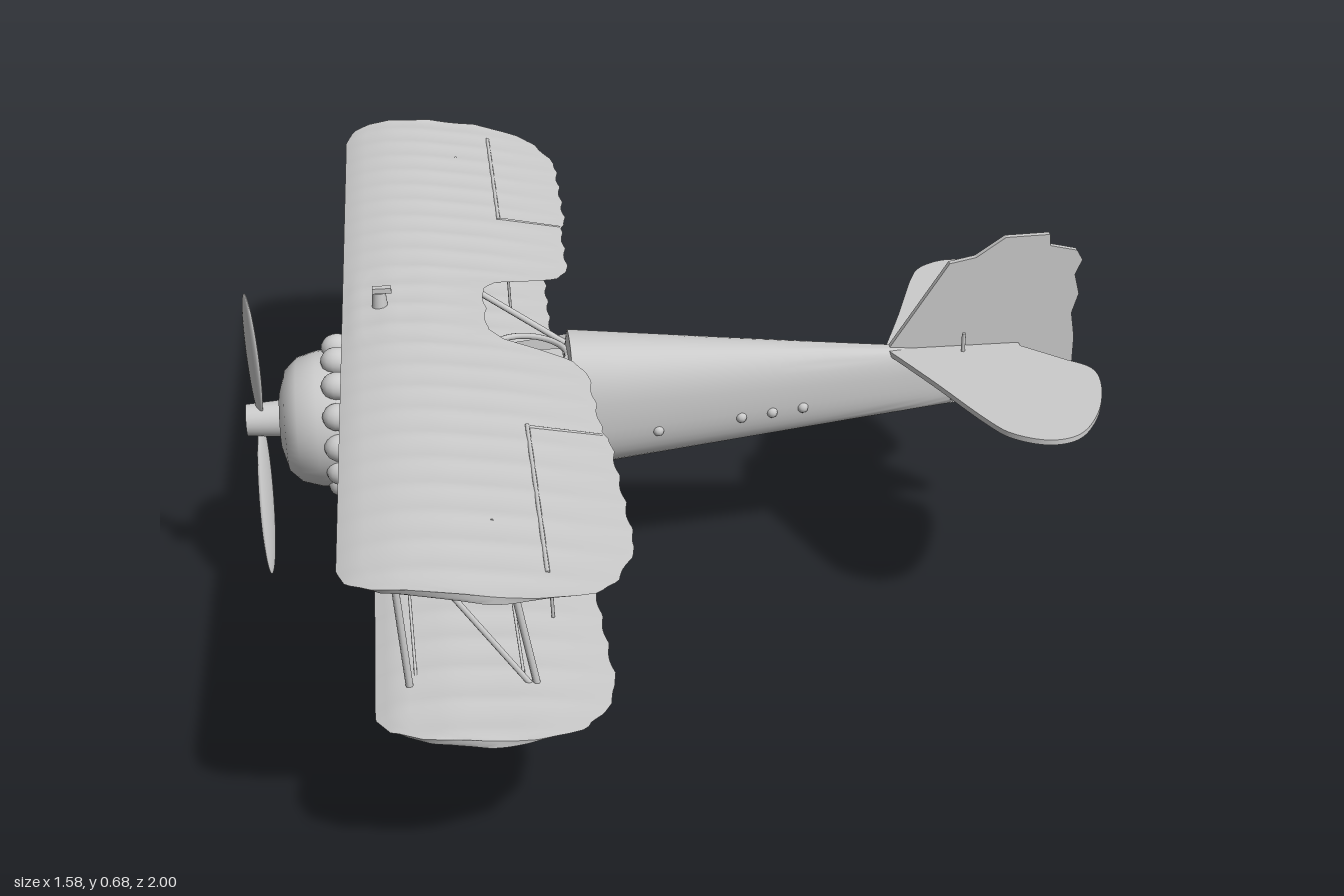
import * as THREE from 'three';
import { toCreasedNormals } from 'three/addons/utils/BufferGeometryUtils.js';

const material = new THREE.MeshStandardMaterial({ color: 0xcccccc, side: THREE.DoubleSide });
const V = (x, y, z) => new THREE.Vector3(x, y, z);

export function createModel() {
  const model = new THREE.Group();
  model.name = 'biplane';

  function add(name, geometry, x = 0, y = 0, z = 0) {
    const mesh = new THREE.Mesh(geometry, material);
    mesh.name = name;
    mesh.position.set(x, y, z);
    model.add(mesh);
    return mesh;
  }

  // Round bar between two points
  function rod(name, a, b, r = 0.006) {
    const mesh = add(name, new THREE.CylinderGeometry(r, r, a.distanceTo(b), 8));
    mesh.position.copy(a).add(b).multiplyScalar(0.5);
    mesh.quaternion.setFromUnitVectors(V(0, 1, 0), b.clone().sub(a).normalize());
    return mesh;
  }

  // Closed skin through equal-sized rings, capped at both ends
  function loft(rings, crease = 0.7) {
    const n = rings[0].length, last = rings.length - 1, index = [];
    const points = rings.flat();
    for (let i = 0; i < last; i++) for (let j = 0; j < n; j++) {
      const a = i * n + j, c = i * n + (j + 1) % n;
      index.push(a, c, a + n, c, c + n, a + n);
    }
    [0, last].forEach((i) => {
      const centre = points.length;
      points.push(rings[i].reduce((s, p) => s.add(p), V(0, 0, 0)).divideScalar(n));
      for (let j = 0; j < n; j++) {
        const a = i * n + j, c = i * n + (j + 1) % n;
        if (i) index.push(centre, a, c); else index.push(centre, c, a);
      }
    });
    const g = new THREE.BufferGeometry().setFromPoints(points);
    g.setIndex(index);
    return toCreasedNormals(g, crease);
  }

  // Linear reading of a short [key, value...] table
  function read(table, t, col = 1) {
    let i = 0;
    while (i < table.length - 2 && t > table[i + 1][0]) i++;
    const [a, b] = [table[i], table[i + 1]];
    const k = THREE.MathUtils.clamp((t - a[0]) / (b[0] - a[0]), 0, 1);
    return THREE.MathUtils.lerp(a[col], b[col], k);
  }

  // Fuselage: x, bottom, top, half width, with a sunken cockpit
  const body = [
    [-0.61, 0.262, 0.495, 0.118], [-0.5, 0.262, 0.495, 0.112], [-0.34, 0.257, 0.502, 0.105],
    [-0.19, 0.262, 0.525, 0.098], [0.1, 0.292, 0.497, 0.066], [0.42, 0.325, 0.468, 0.03], [0.57, 0.34, 0.455, 0.01],
  ];
  const stations = [-0.61, -0.56, -0.5, -0.42, -0.335, -0.325, -0.29, -0.25, -0.21, -0.2, -0.19, -0.1, 0, 0.1, 0.2, 0.3, 0.42, 0.5, 0.57];
  add('fuselage', loft(stations.map((x) => {
    const [lo, hi, w] = [1, 2, 3].map((c) => read(body, x, c));
    return Array.from({ length: 40 }, (_, j) => {
      const a = (j / 40) * Math.PI * 2, c = Math.cos(a), s = Math.sin(a);
      const y = Math.sign(c) * Math.abs(c) ** 0.8, z = Math.sign(s) * Math.abs(s) ** 0.8;
      const open = x > -0.33 && x < -0.195 && c > 0 && Math.abs(z) < 0.72;
      return V(x, (lo + hi) / 2 + y * (hi - lo) / 2 - (open ? 0.09 : 0), z * w);
    });
  })));
  const rim = add('cockpitRim', new THREE.TorusGeometry(0.07, 0.006, 8, 32), -0.262, 0.495);
  rim.rotation.set(Math.PI / 2, -0.12, 0);
  add('cockpitSeat', new THREE.BoxGeometry(0.05, 0.06, 0.08), -0.225, 0.45);
  add('windscreen', new THREE.BoxGeometry(0.008, 0.045, 0.1), -0.37, 0.515).rotation.z = -0.5;

  // Wing with ribbed cloth; section height follows x so cut-outs keep the camber
  function wing(name, span, lead, trail, camber, thickness) {
    const rings = [], steps = 176, chord = 14;
    for (let i = 0; i <= steps; i++) {
      const z = -span + (2 * span * i) / steps, az = Math.abs(z);
      const rib = Math.abs(Math.sin(az * Math.PI / 0.085));
      const x0 = read(lead, az), x1 = read(trail, az) - (az < span - 0.05 ? 0.006 * rib : 0);
      const ring = [];
      for (let j = 0; j < chord * 2; j++) {
        const upper = j <= chord, t = upper ? 1 - j / chord : (j - chord) / chord;
        const u = t * t * 0.4 + t * 0.6, x = x0 + (x1 - x0) * u;
        const thick = thickness * (Math.sqrt(u) * (1 - u) * 1.8 + 0.12 * u);
        const sag = 0.003 * rib * Math.sin(Math.PI * u);
        ring.push(V(x, read(camber, x) + (upper ? -sag : -thick + sag), z));
      }
      rings.push(ring);
    }
    return add(name, loft(rings, 0.9));
  }
  const upperCamber = [[-0.61, 0.588], [-0.58, 0.601], [-0.52, 0.609], [-0.45, 0.606], [-0.33, 0.588], [-0.155, 0.552]];
  wing('upperWing', 1,
    [[0, -0.605], [0.9, -0.605], [0.95, -0.59], [0.98, -0.55], [0.995, -0.48], [1, -0.42]],
    [[0, -0.34], [0.09, -0.34], [0.125, -0.31], [0.15, -0.25], [0.18, -0.195], [0.22, -0.17], [0.45, -0.165],
      [0.46, -0.155], [0.82, -0.15], [0.92, -0.185], [0.97, -0.23], [1, -0.32]], upperCamber, 0.024);
  wing('lowerWing', 0.96,
    [[0, -0.565], [0.87, -0.565], [0.92, -0.54], [0.95, -0.49], [0.96, -0.42]],
    [[0, -0.2], [0.8, -0.18], [0.88, -0.205], [0.93, -0.25], [0.96, -0.32]],
    [[-0.565, 0.3], [-0.53, 0.313], [-0.45, 0.318], [-0.32, 0.308], [-0.18, 0.285]], 0.024);
  add('fillerCap', new THREE.CylinderGeometry(0.012, 0.015, 0.03, 12), -0.535, 0.618);
  add('fillerCapTop', new THREE.BoxGeometry(0.035, 0.01, 0.014), -0.53, 0.637);

  // Nose cowling on the x axis
  const cowl = [[0, 0.585], [0.122, 0.585], [0.13, 0.62], [0.128, 0.66], [0.117, 0.697], [0.095, 0.72], [0.055, 0.732], [0, 0.732]];
  const cowlShape = new THREE.LatheGeometry(cowl.map(([r, y]) => new THREE.Vector2(r, y)), 48);
  add('cowling', toCreasedNormals(cowlShape, 0.7), 0, 0.38).rotation.z = Math.PI / 2;

  // Ring of cylinder heads
  for (let i = 0; i < 14; i++) {
    const a = ((i + 0.5) / 14) * Math.PI * 2;
    const head = add('cylinderHead', new THREE.SphereGeometry(0.026, 14, 10), -0.62, 0.385 + 0.13 * Math.cos(a), 0.13 * Math.sin(a));
    head.scale.x = 1.15;
  }

  // Propeller with two swept blades
  add('propellerHub', new THREE.CylinderGeometry(0.03, 0.036, 0.08, 20), -0.755, 0.385).rotation.z = Math.PI / 2;
  for (const s of [1, -1]) {
    const blade = add('propellerBlade', new THREE.SphereGeometry(1, 16, 20), -0.77, 0.385 + s * 0.148, 0.038);
    blade.scale.set(0.008, 0.149, 0.024);
    blade.rotation.set(s * 0.26, s * 0.45, 0);
  }

  // Tail surfaces
  function plate(name, outline, depth) {
    const g = new THREE.ExtrudeGeometry(outline, { depth, bevelEnabled: false, curveSegments: 16 });
    return add(name, g.translate(0, 0, -depth / 2));
  }
  const half = [[0.42, 0.012], [0.475, 0.15], [0.535, 0.31], [0.57, 0.37], [0.63, 0.4], [0.69, 0.38], [0.745, 0.3], [0.78, 0.2], [0.782, 0.13], [0.74, 0.085], [0.675, 0.02]];
  const tail = new THREE.Shape();
  tail.moveTo(0.42, 0.012);
  tail.splineThru(half.slice(1).map(([x, y]) => new THREE.Vector2(x, y)));
  tail.lineTo(0.675, -0.02);
  tail.splineThru(half.slice(0, -1).reverse().map(([x, y]) => new THREE.Vector2(x, -y)));
  const plane = plate('tailplane', tail, 0.01);
  plane.position.y = 0.458;
  plane.rotation.x = Math.PI / 2;
  const fin = new THREE.Shape([
    [0.42, 0.462], [0.53, 0.635], [0.58, 0.645], [0.635, 0.683], [0.72, 0.685], [0.722, 0.662], [0.775, 0.65], [0.787, 0.63], [0.775, 0.6],
    [0.786, 0.56], [0.775, 0.52], [0.784, 0.47], [0.785, 0.4], [0.772, 0.378], [0.68, 0.37], [0.665, 0.352], [0.55, 0.34], [0.5, 0.36],
  ].map(([x, y]) => new THREE.Vector2(x, y)));
  plate('finAndRudder', fin, 0.012);

  // Paired parts on both sides
  for (const s of [1, -1]) {
    const P = (x, y, z) => V(x, y, s * z);

    // Wing struts and cabane
    rod('frontWingStrut', P(-0.51, 0.305, 0.8), P(-0.53, 0.6, 0.8));
    rod('rearWingStrut', P(-0.31, 0.3, 0.8), P(-0.36, 0.585, 0.8));
    rod('diagonalWingStrut', P(-0.32, 0.3, 0.8), P(-0.52, 0.598, 0.8), 0.005);
    rod('frontCabaneStrut', P(-0.5, 0.45, 0.08), P(-0.52, 0.598, 0.12));
    rod('diagonalCabaneStrut', P(-0.42, 0.44, 0.08), P(-0.5, 0.598, 0.12));
    rod('rearCabaneStrut', P(-0.19, 0.475, 0.07), P(-0.37, 0.583, 0.12));

    // Bracing wires
    for (const [low, high] of [[-0.5, -0.52], [-0.33, -0.37]]) {
      rod('flyingWire', P(low, 0.31, 0.13), P(high, 0.592, 0.78), 0.0025);
      rod('landingWire', P(low, 0.31, 0.78), P(high, 0.585, 0.12), 0.0025);
    }
    rod('aileronRod', P(-0.27, 0.3, 0.61), P(-0.28, 0.565, 0.61), 0.003);

    // Aileron seams
    rod('aileronHinge', P(-0.295, 0.578, 0.45), P(-0.295, 0.578, 0.92), 0.004);
    rod('aileronEnd', P(-0.295, 0.578, 0.455), P(-0.17, 0.553, 0.455), 0.0035);

    // Undercarriage
    rod('frontGearLeg', P(-0.55, 0.275, 0.095), P(-0.44, 0.075, 0.185), 0.008);
    rod('rearGearLeg', P(-0.3, 0.27, 0.09), P(-0.42, 0.075, 0.185), 0.008);
    rod('gearWire', P(-0.46, 0.265, 0.08), P(-0.43, 0.08, -0.18), 0.0025);
    const half = [[0, 0.024], [0.02, 0.02], [0.056, 0.01], [0.06, 0.015], [0.069, 0.014], [0.075, 0.005]];
    const profile = [...half.map(([r, y]) => [r, -y]), ...half.slice().reverse()];
    const wheel = new THREE.LatheGeometry(profile.map(([r, y]) => new THREE.Vector2(r, y)), 40);
    add('wheel', toCreasedNormals(wheel, 0.6), -0.43, 0.078, s * 0.2).rotation.x = Math.PI / 2;

    // Tail struts and elevator linkage
    rod('tailStrut', P(0.55, 0.35, 0.005), P(0.58, 0.455, 0.2), 0.004);
    rod('elevatorHorn', P(0.56, 0.38, 0.03), P(0.56, 0.5, 0.03), 0.004);

    // Guns, exhaust and side fittings
    rod('gunBarrel', P(-0.57, 0.495, 0.045), P(-0.43, 0.495, 0.045), 0.009);
    add('gunBody', new THREE.BoxGeometry(0.1, 0.035, 0.022), -0.39, 0.495, s * 0.045);
    rod('exhaustPipe', P(-0.6, 0.345, 0.118), P(-0.2, 0.345, 0.1), 0.01);
    add('cockpitSideBox', new THREE.BoxGeometry(0.15, 0.03, 0.015), -0.255, 0.375, s * 0.098);
    rod('sideStringer', P(-0.58, 0.43, 0.116), P(-0.32, 0.42, 0.104), 0.006);
    for (const x of [-0.03, 0.13, 0.19, 0.25]) {
      const hw = read(body, x, 3);
      add('inspectionCap', new THREE.SphereGeometry(0.011, 10, 8), x, 0.355 + x * 0.06, s * hw * 0.93);
    }
  }
  rod('wheelAxle', V(-0.43, 0.078, -0.2), V(-0.43, 0.078, 0.2), 0.009);

  return model;
}
